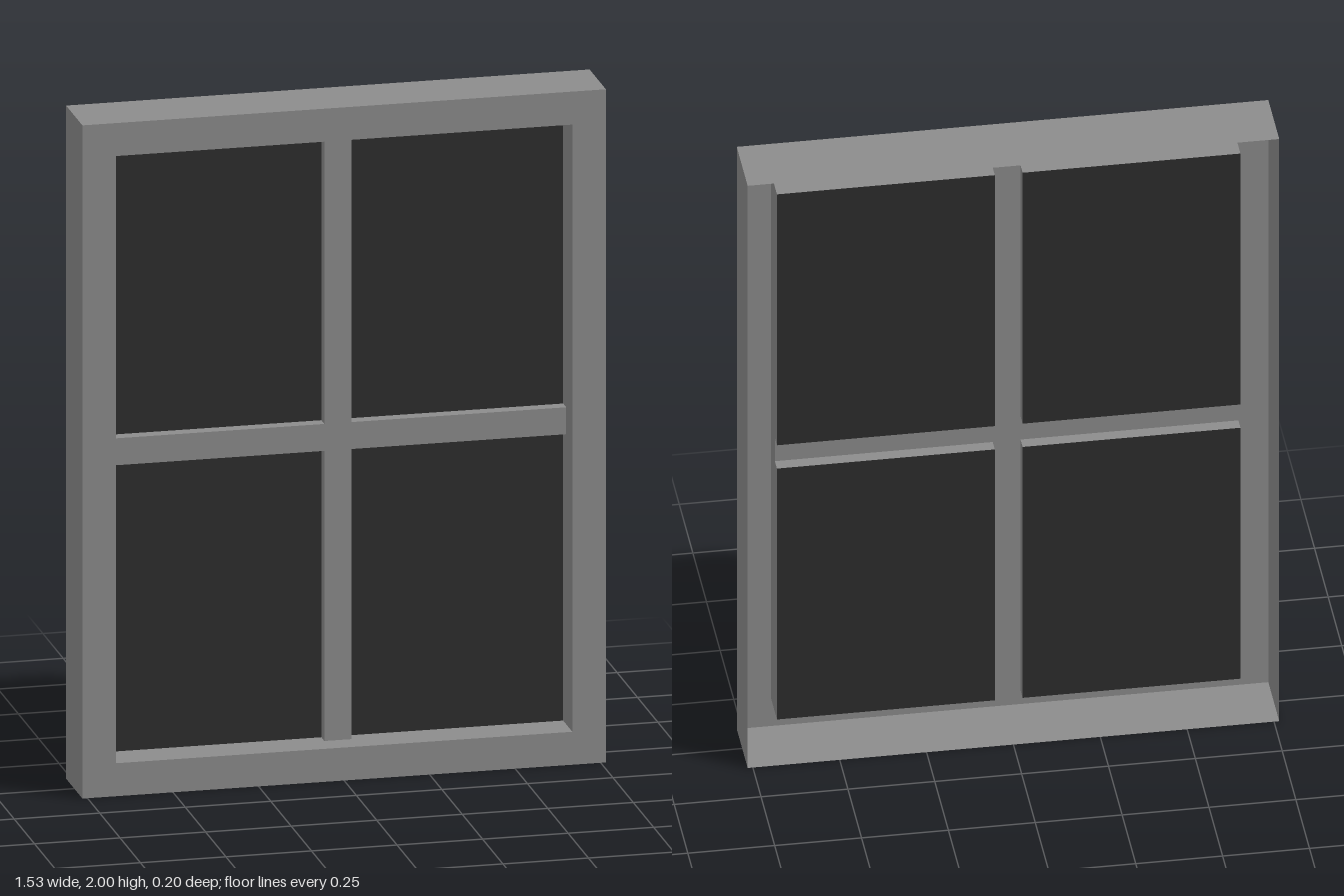
import * as THREE from 'three';

const frameGrey = new THREE.MeshStandardMaterial({ color: 0x8c8c8c, side: THREE.DoubleSide });
frameGrey.name = 'frame grey';
const paneDark = new THREE.MeshStandardMaterial({ color: 0x2d2d2d, side: THREE.DoubleSide });
paneDark.name = 'dark glass';

// Rectangles are [x0, y0, x1, y1]; corners run counter-clockwise seen from the front
const corners = ([x0, y0, x1, y1]) => [[x0, y0], [x1, y0], [x1, y1], [x0, y1]];
const trace = (path, rect) => path.setFromPoints(corners(rect).map(([x, y]) => new THREE.Vector2(x, y)));

// Flat sheet at depth z with rectangular openings
function sheet(rect, holes, z) {
  const shape = trace(new THREE.Shape(), rect);
  shape.holes = holes.map((h) => trace(new THREE.Path(), h));
  return new THREE.ShapeGeometry(shape).translate(0, 0, z);
}

// Four walls around a rectangle from zBack to zFront, facing outward or inward
function walls(rect, zBack, zFront, inward = false) {
  const loop = corners(rect);
  if (inward) loop.reverse();
  const pos = [];
  loop.forEach((a, i) => {
    const b = loop[(i + 1) % 4];
    pos.push(...a, zBack, ...b, zBack, ...b, zFront, ...a, zBack, ...b, zFront, ...a, zFront);
  });
  const g = new THREE.BufferGeometry();
  g.setAttribute('position', new THREE.Float32BufferAttribute(pos, 3));
  g.computeVertexNormals();
  return g;
}

export function createModel() {
  const model = new THREE.Group();
  model.name = 'window';
  const add = (name, geometry, material = frameGrey) => {
    const mesh = new THREE.Mesh(geometry, material);
    mesh.name = name;
    model.add(mesh);
  };

  const zFront = 0.1, zBars = 0.025, zGlass = -0.013, bar = 0.04;
  const outer = [-0.765, 0, 0.765, 2];
  const [x0, y0, x1, y1] = [-0.667, 0.098, 0.667, 1.902];
  const opening = [x0, y0, x1, y1];

  // Hollow frame, open at the back
  add('frameFront', sheet(outer, [opening], zFront));
  add('frameSides', walls(outer, -zFront, zFront));
  add('frameReveal', walls(opening, zBars, zFront, true));

  // Recessed cross bars with four pane openings
  const panes = [];
  for (const [a, b] of [[x0, -bar], [bar, x1]])
    for (const [c, d] of [[y0, 1 - bar], [1 + bar, y1]]) panes.push([a, c, b, d]);
  add('crossBars', sheet(opening, panes, zBars));

  // Each pane sits at the bottom of a shallow well
  panes.forEach((p, i) => {
    add(`paneReveal${i + 1}`, walls(p, zGlass, zBars, true));
    add(`pane${i + 1}`, sheet(p, [], zGlass), paneDark);
  });
  return model;
}
